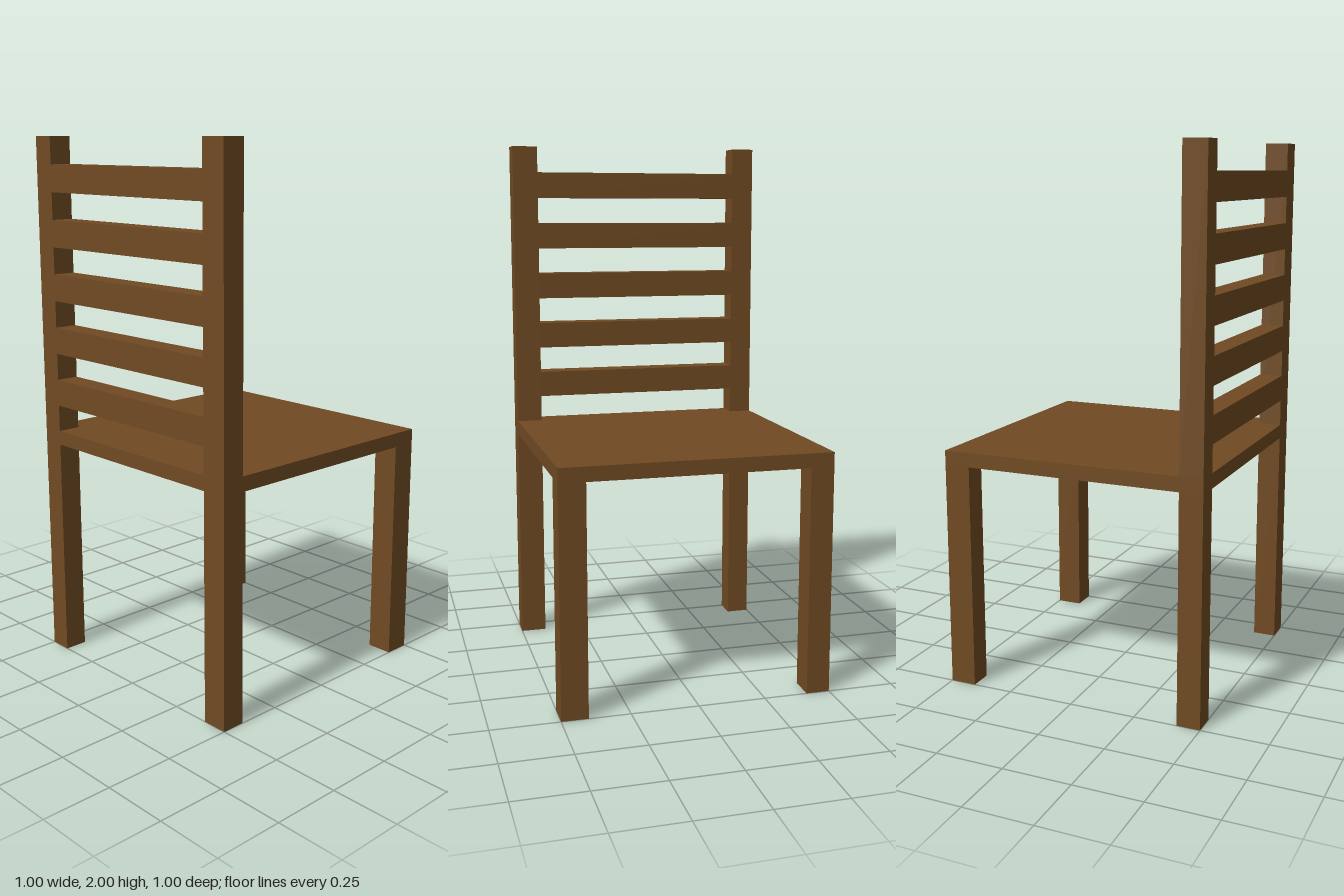
import * as THREE from 'three';

export function createModel() {
  const chair = new THREE.Group();
  chair.name = 'chair';
  const wood = new THREE.MeshStandardMaterial({ color: 0x704a22 });
  wood.name = 'brown wood';

  // Box given by its extents along each axis
  function bar(name, [x0, x1], [y0, y1], [z0, z1]) {
    const mesh = new THREE.Mesh(new THREE.BoxGeometry(x1 - x0, y1 - y0, z1 - z0), wood);
    mesh.position.set((x0 + x1) / 2, (y0 + y1) / 2, (z0 + z1) / 2);
    mesh.name = name;
    chair.add(mesh);
  }

  const backX = [-0.5, -0.413], frontX = [0.402, 0.5];
  const sides = { near: [0.402, 0.5], far: [-0.5, -0.413] };
  const seatBottom = 0.846, seatTop = 0.9;

  bar('seat', [-0.5, 0.5], [seatBottom, seatTop], [-0.5, 0.5]);

  // Four legs below the seat, two back posts above it
  for (const [side, z] of Object.entries(sides)) {
    bar(side + 'FrontLeg', frontX, [0, seatBottom], z);
    bar(side + 'BackLeg', backX, [0, seatBottom], z);
    bar(side + 'BackPost', backX, [seatTop, 2], z);
  }

  // Horizontal slats between the posts
  for (let i = 0; i < 5; i++) {
    const y = 1 + i * 0.2;
    bar('backSlat' + (i + 1), backX, [y, y + 0.1], [-0.413, 0.402]);
  }
  return chair;
}
